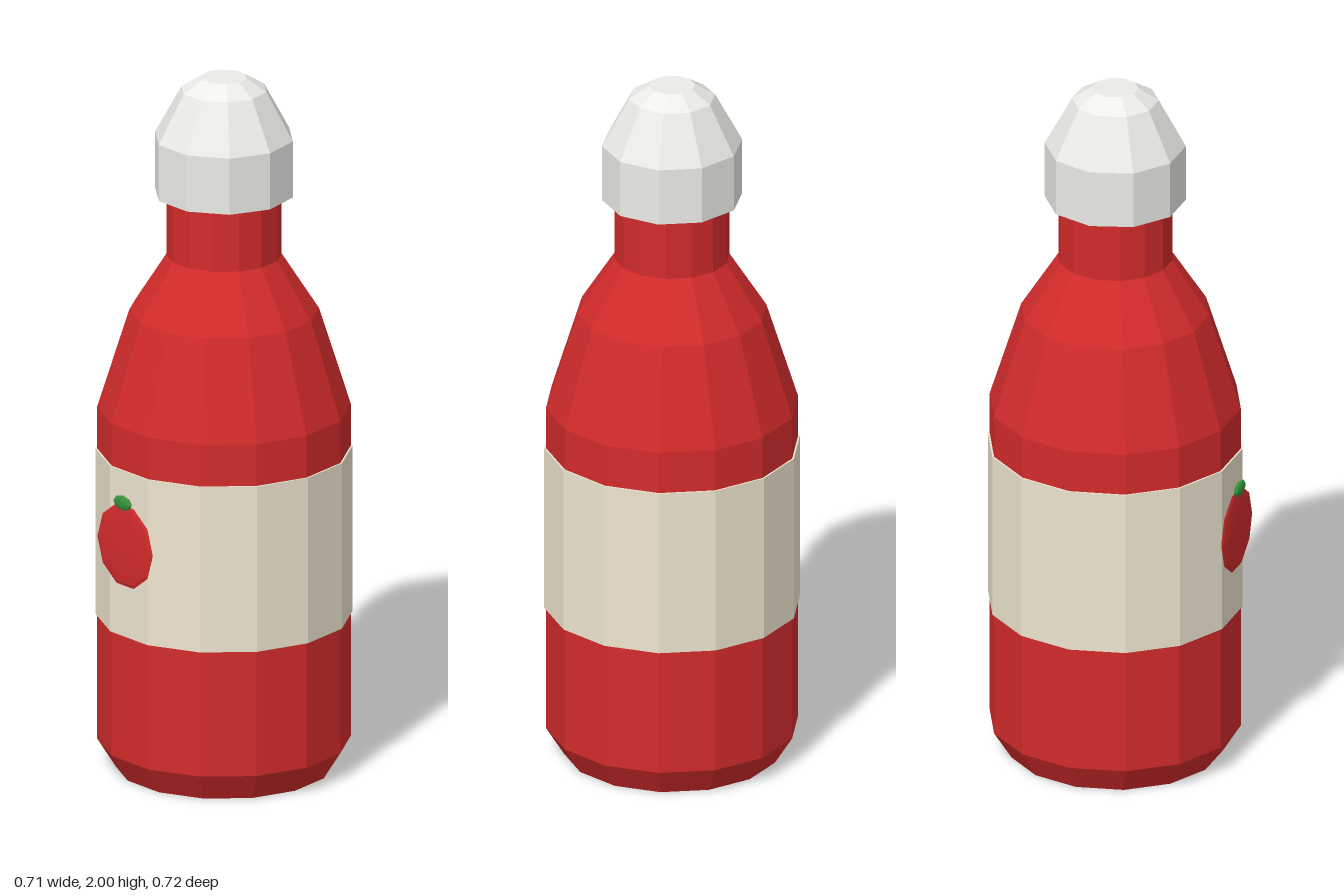
import * as THREE from 'three';

const AXIS_Z = -0.017; // bottle axis sits slightly back because of the emblem

const paint = (color) => new THREE.MeshStandardMaterial({ color, flatShading: true });

// Faceted turned part with a corner on the +x side
function turned(name, profile, sides, material) {
  const points = profile.map(([r, y]) => new THREE.Vector2(r, y));
  const mesh = new THREE.Mesh(new THREE.LatheGeometry(points, sides, Math.PI / 2), material);
  mesh.name = name;
  mesh.position.z = AXIS_Z;
  return mesh;
}

// Flattened faceted ball whose poles point along z
function flatBall(name, sides, rings, scale, position, material) {
  const geometry = new THREE.SphereGeometry(1, sides, rings);
  geometry.rotateX(Math.PI / 2);
  geometry.scale(...scale);
  const mesh = new THREE.Mesh(geometry, material);
  mesh.name = name;
  mesh.position.set(...position);
  return mesh;
}

export function createModel() {
  const group = new THREE.Group();
  group.name = 'sauceBottle';
  const red = paint(0xd32b2b);

  // Body, shoulders and neck
  group.add(turned('bottle', [
    [0, 0], [0.3, 0], [0.35, 0.08], [0.35, 1.045], [0.262, 1.325],
    [0.159, 1.485], [0.159, 1.7], [0, 1.7],
  ], 14, red));

  // Paper band around the body
  group.add(turned('labelBand', [
    [0.348, 0.443], [0.355, 0.443], [0.355, 0.924], [0.348, 0.924],
  ], 14, paint(0xeee5cf)));

  // Domed cap
  group.add(turned('cap', [
    [0, 1.664], [0.195, 1.664], [0.195, 1.827], [0.12, 1.965], [0.064, 2], [0, 2],
  ], 10, paint(0xebebe7)));

  // Tomato emblem on the front of the band
  const emblem = new THREE.Group();
  emblem.name = 'tomatoEmblem';
  emblem.add(flatBall('tomato', 10, 8, [0.117, 0.122, 0.009], [0, 0.714, 0.342], red));
  emblem.add(flatBall('tomatoLeaf', 8, 6, [0.038, 0.022, 0.01], [0, 0.841, 0.351], paint(0x35913a)));
  group.add(emblem);

  return group;
}
